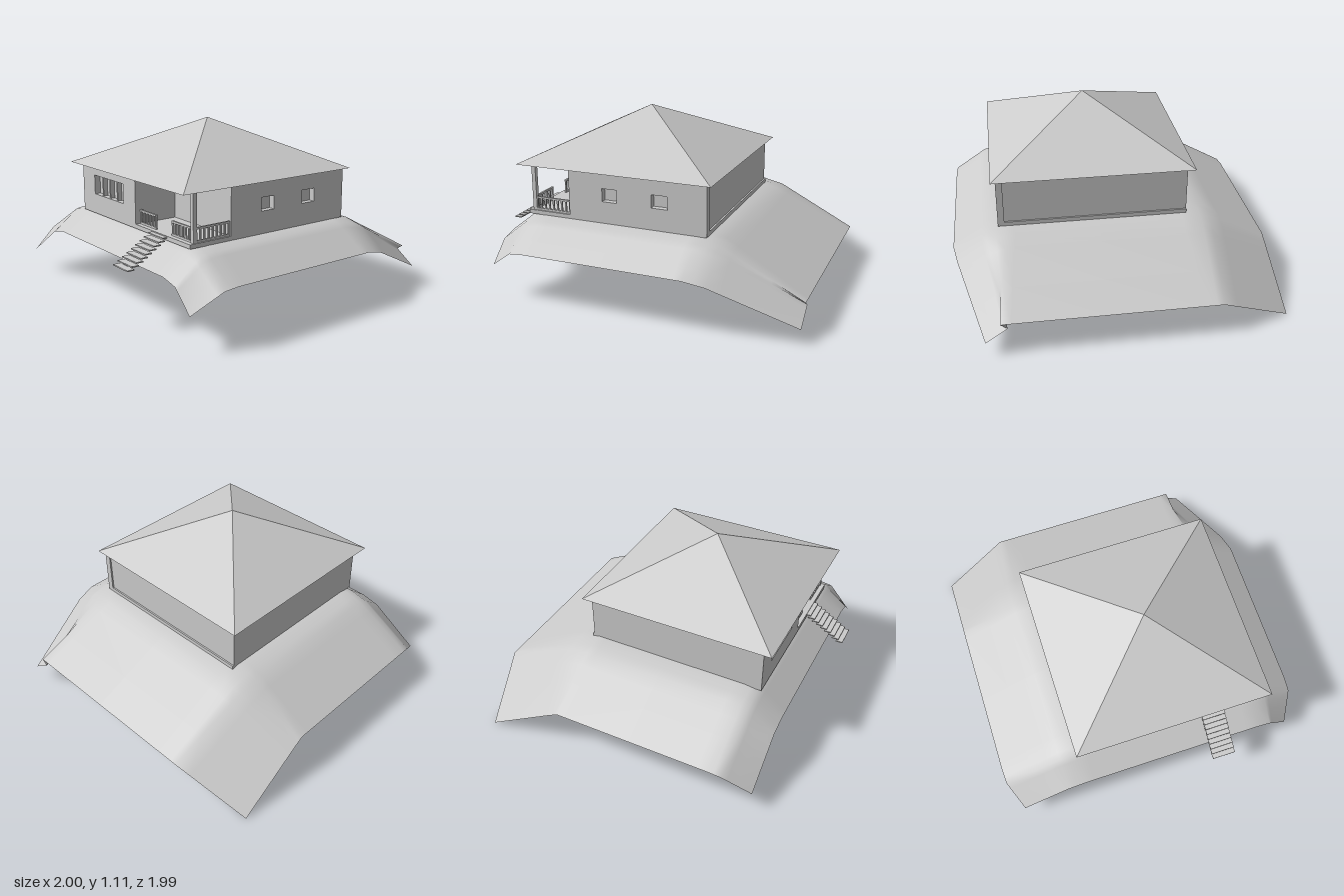
import * as THREE from 'three';

const grey = new THREE.MeshStandardMaterial({ color: 0xcccccc });
const sheet = new THREE.MeshStandardMaterial({ color: 0xcccccc, side: THREE.DoubleSide });

// Box given by its extents on each axis
function box(name, [x0, x1], [y0, y1], [z0, z1]) {
  const m = new THREE.Mesh(new THREE.BoxGeometry(x1 - x0, y1 - y0, z1 - z0), grey);
  m.position.set((x0 + x1) / 2, (y0 + y1) / 2, (z0 + z1) / 2);
  m.name = name;
  return m;
}

// Wall panel with rectangular window openings [a0, a1, y0, y1]
function wallPanel(name, a0, a1, y0, y1, openings, depth) {
  const rect = (P, l, r, b, t) =>
    new P([[l, b], [r, b], [r, t], [l, t]].map(([x, y]) => new THREE.Vector2(x, y)));
  const shape = rect(THREE.Shape, a0, a1, y0, y1);
  for (const o of openings) shape.holes.push(rect(THREE.Path, ...o));
  const m = new THREE.Mesh(new THREE.ExtrudeGeometry(shape, { depth, bevelEnabled: false }), grey);
  m.name = name;
  return m;
}

// Railing between two floor points: top rail, bottom rail and balusters
function railing(name, x0, z0, x1, z1, count) {
  const g = new THREE.Group();
  g.name = name;
  const w = 0.006;
  const span = (a, b) => [Math.min(a, b) - w, Math.max(a, b) + w];
  g.add(box('topRail', span(x0, x1), [0.605, 0.616], span(z0, z1)));
  g.add(box('bottomRail', span(x0, x1), [0.53, 0.542], span(z0, z1)));
  for (let i = 0; i <= count; i++) {
    const x = x0 + (x1 - x0) * i / count, z = z0 + (z1 - z0) * i / count;
    g.add(box('baluster', [x - 0.005, x + 0.005], [0.54, 0.607], [z - 0.005, z + 0.005]));
  }
  return g;
}

// Mound: flat top with bent skirts, interpolated from a small control grid
function terrain() {
  const xs = [-0.89, -0.72, -0.63, 0.37, 0.5, 1];
  const zs = [-0.98, -0.6, -0.48, 0.67, 0.78, 0.99];
  const dropX = [0.145, 0.012, 0, 0, 0.03, 0.295];
  const dropZ = [0.235, 0.025, 0, 0, 0.025, 0.165];
  const ctrl = zs.map((z, j) => xs.map((x, i) => new THREE.Vector3(x, 0.515 - dropX[i] - dropZ[j], z)));
  // Skewed corners and the pinched right edge
  const set = (i, j, x, y, z) => ctrl[j][i].set(x, y, z);
  set(0, 0, -0.89, 0.15, -0.91);
  set(1, 0, -0.72, 0.27, -0.975);
  set(4, 0, 0.43, 0.25, -0.982);
  set(0, 5, -0.89, 0.22, 0.91);
  set(1, 5, -0.72, 0.34, 0.985);
  set(4, 5, 0.5, 0.32, 0.965);
  set(5, 0, 0.87, 0.005, -1);
  set(5, 1, 1, 0.22, -0.56);
  set(5, 3, 1, 0.22, 0.73);
  set(5, 4, 1, 0.19, 0.69);
  set(5, 5, 1, 0.1, 0.82);

  const us = [0, 0.5, 0.8, 1, 1.5, 2, 2.05, 2.5, 2.95, 3, 3.5, 4, 4.15, 4.6, 5];
  const pos = [], index = [], n = us.length;
  const p = new THREE.Vector3(), q = new THREE.Vector3();
  for (const v of us) for (const u of us) {
    const i = Math.min(4, Math.floor(u)), j = Math.min(4, Math.floor(v));
    p.lerpVectors(ctrl[j][i], ctrl[j][i + 1], u - i);
    q.lerpVectors(ctrl[j + 1][i], ctrl[j + 1][i + 1], u - i);
    pos.push(...p.lerp(q, v - j).toArray());
  }
  for (let j = 0; j < n - 1; j++) for (let i = 0; i < n - 1; i++) {
    const a = j * n + i, b = a + n;
    index.push(a, b, a + 1, b, b + 1, a + 1);
  }
  const geo = new THREE.BufferGeometry();
  geo.setAttribute('position', new THREE.Float32BufferAttribute(pos, 3));
  geo.setIndex(index);
  geo.computeVertexNormals();
  const m = new THREE.Mesh(geo, sheet);
  m.name = 'terrain';
  return m;
}

// Hipped roof: four-sided cone with a closed base
function roof() {
  let geo = new THREE.ConeGeometry(Math.SQRT1_2, 0.3, 4);
  geo.rotateY(Math.PI / 4);
  geo.scale(1.25, 1, 1.24);
  geo = geo.toNonIndexed();
  geo.computeVertexNormals();
  const m = new THREE.Mesh(geo, grey);
  m.position.set(-0.178, 0.965, 0.12);
  m.name = 'roof';
  return m;
}

export function createModel() {
  const model = new THREE.Group();
  model.name = 'hillHouse';
  model.add(terrain(), roof());

  const house = new THREE.Group();
  house.name = 'house';
  model.add(house);
  const Y = [0.53, 0.815];
  house.add(box('floorSlab', [-0.74, 0.415], [0.505, 0.53], [-0.455, 0.71]));

  // Front wall with two small windows
  const front = wallPanel('frontWall', -0.46, 0.415, ...Y,
    [[-0.24, -0.145, 0.64, 0.72], [0.075, 0.175, 0.64, 0.72]], 0.04);
  front.position.z = 0.67;
  house.add(front, box('frontPanes', [-0.43, 0.37], [0.6, 0.76], [0.66, 0.672]));

  // Left wall with one wide window
  const left = wallPanel('leftWall', -0.455, 0.165, ...Y, [[-0.31, 0.03, 0.63, 0.75]], 0.04);
  left.rotation.y = -Math.PI / 2;
  left.position.x = -0.7;
  house.add(left, box('leftPane', [-0.702, -0.69], [0.6, 0.78], [-0.34, 0.06]));
  for (let i = 1; i < 4; i++) {
    const z = -0.31 + 0.085 * i;
    house.add(box('mullion', [-0.73, -0.7], [0.63, 0.75], [z - 0.006, z + 0.006]));
  }

  // Remaining walls, including the two that enclose the porch
  house.add(
    box('rightWall', [0.365, 0.405], Y, [-0.455, 0.68]),
    box('backWall', [-0.71, 0.405], Y, [-0.455, -0.415]),
    box('porchBackWall', [-0.71, -0.42], Y, [0.125, 0.165]),
    box('porchSideWall', [-0.46, -0.42], Y, [0.14, 0.69]),
  );

  // Porch post and railings, with a gap for the stairs
  house.add(
    box('porchPost', [-0.715, -0.69], Y, [0.68, 0.705]),
    railing('frontRailing', -0.69, 0.695, -0.465, 0.695, 8),
    railing('sideRailingRear', -0.705, 0.175, -0.705, 0.33, 5),
    railing('sideRailingFront', -0.705, 0.5, -0.705, 0.685, 6),
  );

  // Open stairs
  const stairs = new THREE.Group();
  stairs.name = 'stairs';
  for (let i = 0; i < 9; i++) {
    const x = -1 + 0.029 * i, y = 0.373 + 0.018 * i;
    stairs.add(box('tread', [x, x + 0.045], [y, y + 0.007], [0.34, 0.49]));
  }
  model.add(stairs);
  return model;
}
